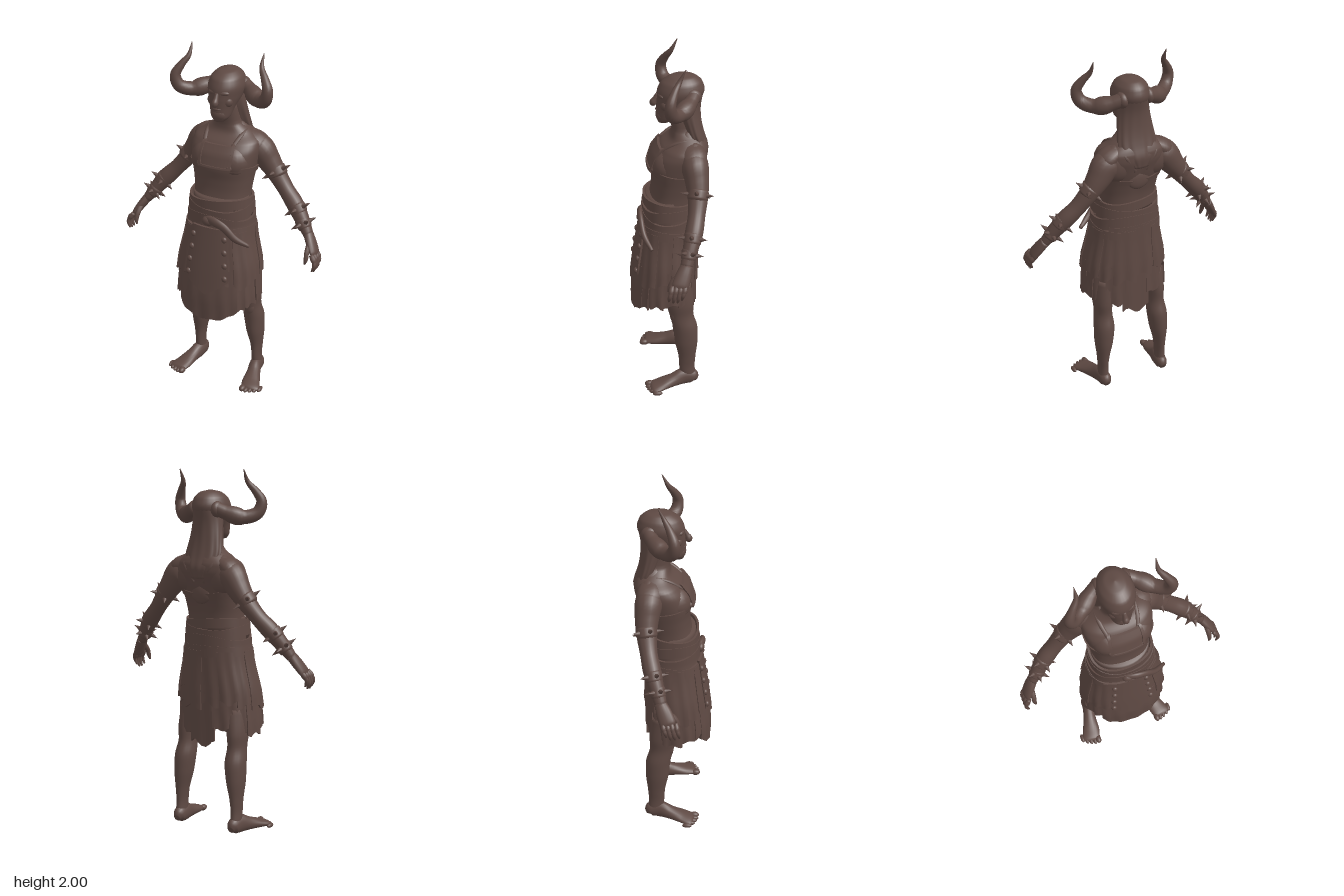
import * as THREE from 'three';
import { mergeVertices, toCreasedNormals } from 'three/addons/utils/BufferGeometryUtils.js';

const V = (x, y, z) => new THREE.Vector3(x, y, z);
const lerp = THREE.MathUtils.lerp;

export function createModel() {
  const model = new THREE.Group();
  model.name = 'hornedWarrior';
  const clay = new THREE.MeshStandardMaterial({ color: 0x5e4943 });
  clay.name = 'dark brown clay';

  const add = (name, geo) => {
    const mesh = new THREE.Mesh(geo, clay);
    mesh.name = name;
    model.add(mesh);
    return mesh;
  };
  const weld = (geo) => {
    geo.deleteAttribute('uv');
    geo.deleteAttribute('normal');
    return mergeVertices(geo, 1e-5);
  };

  // Sweep an ellipse through rows [x, y, z, radiusN, radiusB]; without ref the sections stay level
  function sweep(name, rows, ref = null, seg = 20, ripple = () => 1) {
    const steps = (rows.length - 1) * 5;
    const path = new THREE.CatmullRomCurve3(rows.map((r) => V(r[0], r[1], r[2])));
    const radii = new THREE.CatmullRomCurve3(rows.map((r) => V(r[3], r[4], 0)));
    const geo = new THREE.CylinderGeometry(1, 1, 1, seg, steps);
    const pos = geo.attributes.position;
    for (let i = 0; i < pos.count; i++) {
      const t = THREE.MathUtils.clamp(pos.getY(i) + 0.5, 0, 1);
      const c = path.getPoint(t), r = radii.getPoint(t);
      let N = V(1, 0, 0), B = V(0, 0, 1);
      if (ref) {
        const T = path.getTangent(t);
        B = ref.clone().addScaledVector(T, -ref.dot(T)).normalize();
        N = T.clone().cross(B);
      }
      const k = ripple(Math.atan2(pos.getX(i), pos.getZ(i)), t);
      c.addScaledVector(N, pos.getX(i) * Math.max(r.x, 0.001) * k);
      c.addScaledVector(B, pos.getZ(i) * Math.max(r.y, 0.001) * k);
      pos.setXYZ(i, c.x, Math.max(c.y, 0), c.z);
    }
    const merged = weld(geo);
    merged.computeVertexNormals();
    return add(name, merged);
  }

  // Point on a level-section body at angle a (0 = front) and height y
  function around(rows, a, y, off) {
    let i = 0;
    while (i < rows.length - 2 && y > rows[i + 1][1]) i++;
    const p = rows[i], q = rows[i + 1];
    const t = THREE.MathUtils.clamp((y - p[1]) / (q[1] - p[1]), 0, 1);
    const s = Math.sin(a), c = Math.cos(a), pw = 0.87;
    return V((lerp(p[3], q[3], t) + off) * Math.sign(s) * Math.abs(s) ** pw, y,
      lerp(p[2], q[2], t) + (lerp(p[4], q[4], t) + off) * Math.sign(c) * Math.abs(c) ** pw);
  }

  // Solid plate bent around a body; top and bottom are heights by fraction u
  function panel(name, rows, a0, a1, top, bottom, off, thick, fold = 0) {
    const n = Math.max(8, Math.ceil((a1 - a0) * 14));
    const geo = new THREE.BoxGeometry(1, 1, 1, n, 7, 1);
    const pos = geo.attributes.position;
    for (let i = 0; i < pos.count; i++) {
      const u = pos.getX(i) + 0.5, v = pos.getY(i) + 0.5, a = lerp(a0, a1, u);
      const out = off + thick * (pos.getZ(i) + 0.5) + fold * Math.sin(a * 19 + v * 2) * (1.2 - v);
      const p = around(rows, a, lerp(bottom(u), top(u), v), out);
      pos.setXYZ(i, p.x, p.y, p.z);
    }
    return add(name, toCreasedNormals(weld(geo), 0.9));
  }

  function blob(name, x, y, z, rx, ry, rz) {
    return add(name, new THREE.SphereGeometry(1, 20, 14).scale(rx, ry, rz).translate(x, y, z));
  }

  // Ring of cones standing off a limb
  function spikes(name, centre, axis, r, n, len) {
    const T = axis.clone().normalize();
    const B = V(0, 0, 1).addScaledVector(T, -T.z).normalize();
    const N = T.clone().cross(B);
    for (let i = 0; i < n; i++) {
      const a = (i / n) * Math.PI * 2 + 0.4;
      const d = N.clone().multiplyScalar(Math.cos(a)).addScaledVector(B, Math.sin(a));
      const geo = new THREE.ConeGeometry(0.014, len, 8);
      geo.applyQuaternion(new THREE.Quaternion().setFromUnitVectors(V(0, 1, 0), d));
      const p = centre.clone().addScaledVector(d, r + len * 0.4);
      add(name, geo.translate(p.x, p.y, p.z));
    }
  }

  // Torso and neck, squared in section with a groove along the spine
  const torso = [[0, 1.13, -0.008, 0.158, 0.125], [0, 1.22, -0.022, 0.16, 0.12], [0, 1.3, -0.034, 0.17, 0.128],
    [0, 1.38, -0.045, 0.185, 0.145], [0, 1.45, -0.066, 0.195, 0.143], [0, 1.5, -0.085, 0.188, 0.124],
    [0, 1.54, -0.1, 0.135, 0.092], [0, 1.59, -0.085, 0.074, 0.068], [0, 1.7, -0.06, 0.06, 0.06]];
  sweep('torso', torso, null, 48, (a, t) => 1 + 0.06 * Math.sin(2 * a) ** 2
    - 0.06 * Math.exp(-(((Math.PI - Math.abs(a)) / 0.15) ** 2)) * Math.sin(Math.PI * t));
  for (const s of [-1, 1]) {
    blob('pectoral', s * 0.078, 1.395, 0.0, 0.095, 0.1, 0.098);
    blob('shoulderBlade', s * 0.1, 1.44, -0.125, 0.1, 0.11, 0.068);
    sweep('trapezius', [[s * 0.05, 1.575, -0.1, 0.03, 0.045], [s * 0.1, 1.52, -0.11, 0.035, 0.06],
      [s * 0.165, 1.475, -0.12, 0.052, 0.07], [s * 0.2, 1.43, -0.125, 0.04, 0.05]], V(0, 0, 1), 16);
  }

  // Chest plate, rim, straps and back disc
  panel('chestPlate', torso, -0.36, 0.42, () => 1.495, () => 1.385, 0.003, 0.014);
  for (const a of [-0.4, 0.38]) panel('plateRim', torso, a, a + 0.08, () => 1.505, () => 1.375, 0.004, 0.018);
  panel('plateRim', torso, -0.4, 0.46, () => 1.39, () => 1.37, 0.004, 0.018);
  for (const s of [-1, 1]) {
    sweep('shoulderStrap', [[s * 0.08, 1.48, 0.05, 0.01, 0.012], [s * 0.1, 1.53, -0.02, 0.01, 0.012],
      [s * 0.105, 1.548, -0.1, 0.01, 0.012], [s * 0.09, 1.5, -0.19, 0.01, 0.012],
      [s * 0.03, 1.4, -0.185, 0.01, 0.012]], V(1, 0, 0), 10);
    blob('strapBuckle', s * 0.085, 1.385, 0.092, 0.02, 0.018, 0.016);
  }
  panel('ribStrap', torso, 0.45, 3.1, (u) => 1.395 - u * 0.06, (u) => 1.365 - u * 0.06, 0, 0.008);
  panel('ribStrap', torso, -3.1, -0.45, (u) => 1.335 + u * 0.06, (u) => 1.305 + u * 0.06, 0, 0.008);
  blob('backDisc', 0, 1.34, -0.165, 0.065, 0.06, 0.02);

  // Head and face
  sweep('head', [[0, 1.625, 0.025, 0.03, 0.03], [0, 1.65, 0.01, 0.053, 0.055], [0, 1.7, -0.015, 0.068, 0.08],
    [0, 1.75, -0.05, 0.088, 0.115], [0, 1.8, -0.065, 0.098, 0.125], [0, 1.85, -0.07, 0.084, 0.107],
    [0, 1.88, -0.075, 0.052, 0.065], [0, 1.892, -0.075, 0.005, 0.005]], null, 28);
  blob('brow', 0, 1.785, 0.035, 0.062, 0.02, 0.026);
  sweep('nose', [[0, 1.785, 0.055, 0.01, 0.01], [0, 1.755, 0.07, 0.014, 0.015], [0, 1.735, 0.08, 0.018, 0.02],
    [0, 1.722, 0.07, 0.01, 0.01]], V(0, 0, 1), 12);
  blob('beard', 0, 1.665, 0.035, 0.045, 0.04, 0.033);
  blob('mouth', 0, 1.697, 0.055, 0.026, 0.009, 0.014);
  for (const s of [-1, 1]) {
    blob('eye', s * 0.033, 1.76, 0.04, 0.013, 0.008, 0.01);
    blob('cheek', s * 0.04, 1.735, 0.018, 0.032, 0.034, 0.03);
  }

  // Long hair falling down the back
  sweep('hair', [[0, 1.42, -0.195, 0.04, 0.012], [0, 1.48, -0.182, 0.085, 0.032], [0, 1.55, -0.145, 0.11, 0.048],
    [0, 1.63, -0.12, 0.1, 0.056], [0, 1.72, -0.1, 0.088, 0.072], [0, 1.8, -0.1, 0.078, 0.088]],
  null, 60, (a, t) => 1 + 0.05 * (1 - t) * Math.sin(a * 12));

  // Kilt: core, hanging tiers and wrapped sash
  const kilt = [[0, 0.5, 0.028, 0.23, 0.165], [0, 0.62, 0.027, 0.228, 0.164], [0, 0.8, 0.016, 0.213, 0.152],
    [0, 0.95, 0.006, 0.18, 0.138], [0, 1.05, -0.002, 0.168, 0.13], [0, 1.2, -0.005, 0.16, 0.128]];
  sweep('kiltCore', [[0, 0.585, 0.027, 0.226, 0.163], ...kilt.slice(2)], null, 36);
  const strips = 13;
  for (let i = 0; i < strips; i++) {
    const a = (i / strips) * Math.PI * 2 + 0.24, w = 0.27;
    const j = Math.sin(i * 4.7) * 0.018;
    panel('lowerStrip', kilt, a - w, a + w, () => 0.8, (u) => 0.572 + j + 0.01 * Math.sin(u * 9 + i),
      0.001 + (i % 2) * 0.007, 0.012, 0.004);
    panel('upperStrip', kilt, a - w + 0.2, a + w + 0.2, () => 1.02, (u) => 0.72 + j + 0.015 * Math.sin(u * 7 + i * 2),
      0.01 + (i % 2) * 0.006, 0.013, 0.004);
  }
  panel('frontUnderApron', kilt, -0.75, 0.75, () => 0.8,
    (u) => 0.485 + 0.07 * Math.abs(u * 2 - 1) ** 2 + 0.006 * Math.sin(u * 25), -0.02, 0.042, 0.003);
  panel('frontApron', kilt, -0.5, 0.5, () => 1.04, (u) => 0.65 + 0.09 * Math.abs(u * 2 - 1), 0.02, 0.014);
  panel('backStrip', kilt, 2.85, 3.4, () => 1.0, (u) => 0.5 + 0.02 * Math.sin(u * 8), 0.006, 0.013, 0.002);
  panel('backFlap', kilt, 2.3, 3.9, () => 1.05, (u) => 0.79 + 0.03 * Math.sin(u * 6), 0.014, 0.012, 0.003);
  for (const s of [-1, 1]) for (let i = 0; i < 4; i++) {
    const p = around(kilt, s * 0.41, 0.76 + i * 0.075, 0.032);
    blob('apronStud', p.x, p.y, p.z, 0.016, 0.018, 0.014);
  }
  [[1.165, 0.03, 0.01], [1.115, 0.035, -0.014], [1.055, 0.04, 0.016], [1.005, 0.03, -0.01]].forEach(([y, h, tilt], i) => {
    const wave = (u) => y + tilt * Math.sin(u * Math.PI * 4 + i);
    panel('sashWrap', kilt, -Math.PI, Math.PI, (u) => wave(u) + h, (u) => wave(u) - h * 0.7, 0.006 + i * 0.003, 0.012);
  });
  sweep('sashTail', [[-0.04, 1.08, 0.14, 0.02, 0.012], [0.03, 1.085, 0.16, 0.026, 0.016], [0.09, 1.06, 0.158, 0.024, 0.016],
    [0.15, 1.0, 0.145, 0.02, 0.016], [0.22, 0.955, 0.11, 0.01, 0.01]], V(0, 0, 1), 14);
  blob('sashKnot', -0.01, 1.075, 0.148, 0.035, 0.028, 0.025);

  for (const s of [-1, 1]) {
    const side = (rows) => rows.map(([x, ...rest]) => [x * s, ...rest]);

    // Curved horn with a socket at the temple
    sweep('horn', side([[0.06, 1.8, -0.13, 0.036, 0.036], [0.12, 1.772, -0.1, 0.038, 0.038],
      [0.195, 1.748, -0.04, 0.038, 0.038], [0.252, 1.772, 0.005, 0.035, 0.035], [0.27, 1.83, 0.015, 0.029, 0.029],
      [0.245, 1.885, -0.005, 0.021, 0.021], [0.213, 1.935, -0.035, 0.013, 0.013], [0.21, 2, -0.068, 0.002, 0.002]]),
    V(0, 0.3, 1), 18);
    blob('hornSocket', s * 0.075, 1.79, -0.12, 0.032, 0.044, 0.046);

    // Arm
    sweep('arm', side([[0.12, 1.455, -0.115, 0.06, 0.06], [0.17, 1.44, -0.122, 0.078, 0.074],
      [0.218, 1.378, -0.13, 0.067, 0.065], [0.268, 1.31, -0.13, 0.052, 0.055], [0.338, 1.225, -0.115, 0.044, 0.046],
      [0.395, 1.165, -0.097, 0.048, 0.048], [0.455, 1.09, -0.07, 0.04, 0.04], [0.505, 1.02, -0.045, 0.026, 0.032]]),
    V(0, 0, 1), 20);

    // Spiked bands
    [[0.27, 1.315, -0.13, 0.055, 5], [0.42, 1.14, -0.087, 0.046, 5], [0.465, 1.073, -0.063, 0.04, 6]].forEach(([x, y, z, r, n]) => {
      const axis = V(s * 0.058, -0.08, 0.018), c = V(s * x, y, z);
      const row = (k, g) => [c.x + axis.x * k, c.y + axis.y * k, c.z + axis.z * k, r * g, r * g];
      sweep('armBand', [row(-0.3, 0.9), row(-0.18, 1.02), row(0.18, 1.0), row(0.3, 0.85)], V(0, 0, 1), 18);
      spikes('bandSpike', c, axis, r, n, 0.043);
    });

    // Hand
    sweep('palm', side([[0.5, 1.03, -0.05, 0.026, 0.032], [0.53, 0.985, -0.028, 0.024, 0.042],
      [0.555, 0.945, -0.01, 0.02, 0.044], [0.565, 0.925, -0.003, 0.012, 0.036]]), V(0, 0, 1), 16);
    for (let i = 0; i < 4; i++) {
      const z = -0.036 + i * 0.023, drop = [0.015, 0, 0, 0.01][i];
      sweep('finger', side([[0.555, 0.945, z, 0.012, 0.012], [0.578, 0.91, z + 0.01, 0.012, 0.012],
        [0.582, 0.88 + drop, z + 0.016, 0.011, 0.011], [0.57, 0.848 + drop, z + 0.02, 0.005, 0.005]]), V(0, 0, 1), 10);
    }
    sweep('thumb', side([[0.525, 0.99, -0.01, 0.016, 0.016], [0.528, 0.95, 0.03, 0.014, 0.014],
      [0.53, 0.915, 0.045, 0.012, 0.012], [0.525, 0.89, 0.05, 0.005, 0.005]]), V(1, 0, 0), 10);

    // Leg and foot
    sweep('leg', side([[0.188, 0.05, -0.1, 0.03, 0.045], [0.187, 0.12, -0.092, 0.027, 0.045],
      [0.185, 0.2, -0.092, 0.034, 0.05], [0.178, 0.3, -0.087, 0.051, 0.066], [0.171, 0.4, -0.08, 0.057, 0.07],
      [0.167, 0.48, -0.06, 0.049, 0.068], [0.165, 0.56, -0.05, 0.054, 0.08], [0.14, 0.7, -0.03, 0.07, 0.09]]), null, 20);
    blob('kneecap', s * 0.17, 0.49, -0.014, 0.032, 0.055, 0.022);
    sweep('foot', side([[0.185, 0.03, -0.15, 0.018, 0.02], [0.186, 0.045, -0.125, 0.034, 0.045],
      [0.19, 0.05, -0.07, 0.036, 0.052], [0.205, 0.038, -0.01, 0.04, 0.039], [0.222, 0.026, 0.06, 0.052, 0.026],
      [0.24, 0.018, 0.11, 0.054, 0.018], [0.243, 0.012, 0.125, 0.04, 0.01]]), V(0, 1, 0), 20);
    for (let i = 0; i < 5; i++) {
      const r = i === 0 ? 0.018 : 0.013;
      blob('toe', s * (0.2 + i * 0.023), r, 0.13 - i * i * 0.0025, r, r, 0.028);
    }
  }
  return model;
}
